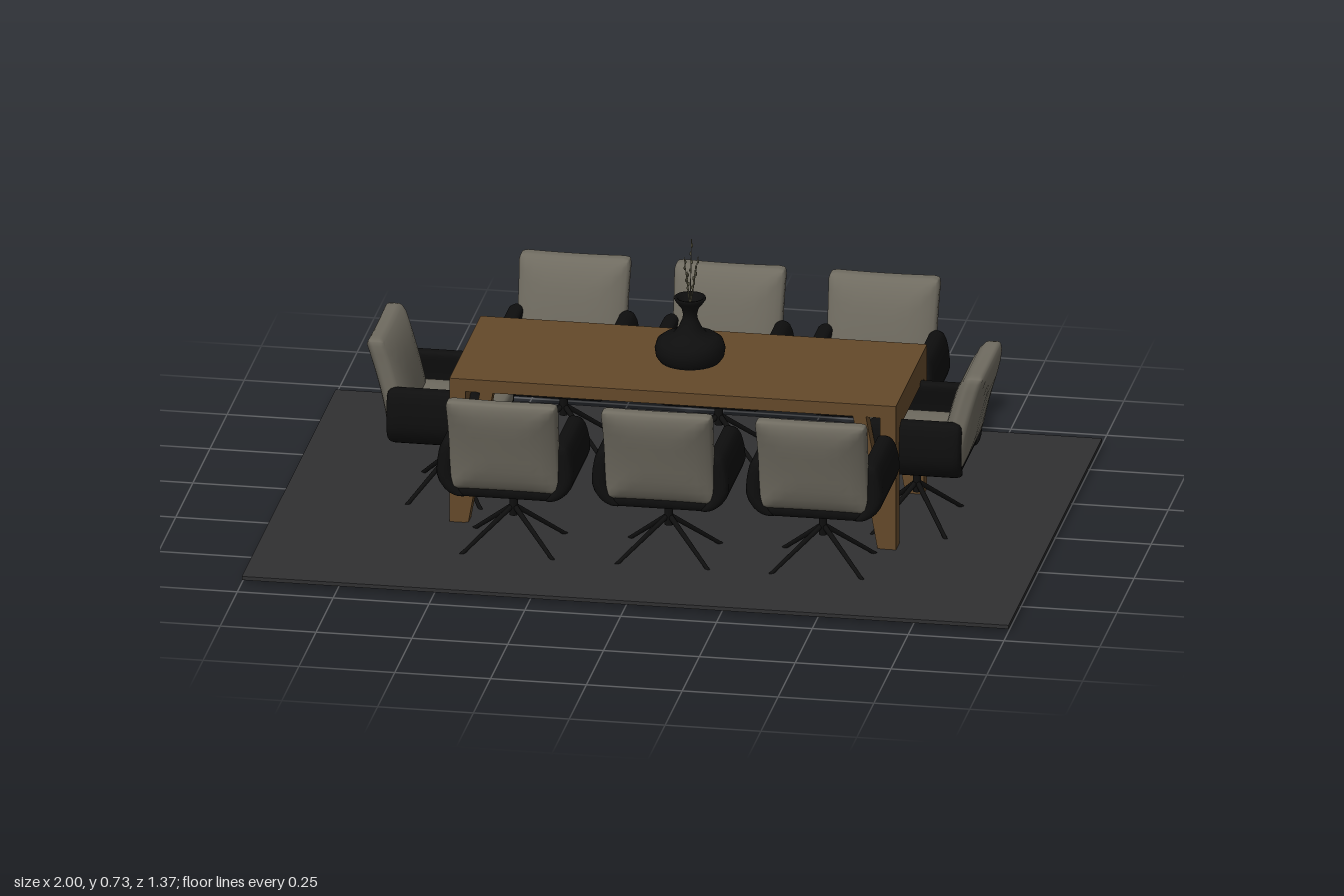
import * as THREE from 'three';
import { mergeVertices } from 'three/addons/utils/BufferGeometryUtils.js';

const mat = (name, color, side = THREE.FrontSide) => {
  const m = new THREE.MeshStandardMaterial({ color, side });
  m.name = name;
  return m;
};

function mesh(parent, name, geometry, material, x = 0, y = 0, z = 0) {
  const m = new THREE.Mesh(geometry, material);
  m.name = name;
  m.position.set(x, y, z);
  parent.add(m);
  return m;
}

// Smooth rounded box; rule(v) may bend its vertices afterwards
function softBox(w, h, d, r, rule, n = 12) {
  let g = new THREE.BoxGeometry(2, 2, 2, n, n, n);
  g.deleteAttribute('normal');
  g.deleteAttribute('uv');
  g = mergeVertices(g, 1e-4);
  const p = g.attributes.position;
  const v = new THREE.Vector3(), inner = new THREE.Vector3();
  const lim = new THREE.Vector3(w / 2 - r, h / 2 - r, d / 2 - r);
  const ease = (t) => Math.sin(t * Math.PI / 2);
  for (let i = 0; i < p.count; i++) {
    v.fromBufferAttribute(p, i);
    v.set(ease(v.x) * w / 2, ease(v.y) * h / 2, ease(v.z) * d / 2);
    inner.copy(v).clamp(lim.clone().negate(), lim);
    v.sub(inner).setLength(r).add(inner);
    if (rule) rule(v);
    p.setXYZ(i, v.x, v.y, v.z);
  }
  g.computeVertexNormals();
  return g;
}

// Tapered round bar between two points
function bar(parent, name, a, b, r0, r1, material, sides = 10) {
  const d = b.clone().sub(a);
  const m = mesh(parent, name, new THREE.CylinderGeometry(r1, r0, d.length(), sides), material);
  m.position.copy(a).addScaledVector(d, 0.5);
  m.quaternion.setFromUnitVectors(new THREE.Vector3(0, 1, 0), d.normalize());
  return m;
}

// Swivel chair facing +z, centred on its pedestal
function makeChair(black, fabric) {
  const chair = new THREE.Group();
  chair.name = 'chair';

  mesh(chair, 'seatShell', softBox(0.27, 0.04, 0.27, 0.019), black, 0, 0.205, 0);
  for (const s of [-1, 1]) {
    // Armrest bulges at the middle and tucks in under the seat
    const arm = softBox(0.044, 0.16, 0.278, 0.021, (v) => {
      const k = v.y + 0.015;
      v.x -= s * (k < 0 ? 0.045 * (k / 0.065) ** 2 : 0.016 * (k / 0.095) ** 2);
      if (v.z > 0 && k > 0) v.z -= 0.035 * (k / 0.095) ** 2 * (v.z / 0.139);
    });
    mesh(chair, s > 0 ? 'leftArm' : 'rightArm', arm, black, s * 0.157, 0.266, -0.004);
  }

  // Plump seat and leaning back cushions, thinner towards their edges
  const seat = softBox(0.272, 0.075, 0.275, 0.018, (v) => {
    const e = Math.max(Math.abs(v.x) / 0.136, Math.abs(v.z) / 0.1375);
    v.y *= 1 - 0.4 * e ** 4;
  });
  mesh(chair, 'seatCushion', seat, fabric, 0, 0.245, 0.002);
  const back = softBox(0.292, 0.268, 0.084, 0.018, (v) => {
    const a = Math.abs(v.x) / 0.146, b = Math.abs(v.y) / 0.134;
    v.z *= 1 - 0.55 * Math.max(a, b) ** 4;
    v.x *= 1 - 0.025 * (1 - b * b);
    v.y *= 1 - 0.02 * (1 - a * a);
    v.z -= 0.065 * Math.max(0, (v.y + 0.134) / 0.268) ** 1.4;
  });
  mesh(chair, 'backCushion', back, fabric, 0, 0.339, -0.112);

  // Pedestal with four spread legs
  mesh(chair, 'pedestal', new THREE.CylinderGeometry(0.011, 0.011, 0.095, 16), black, 0, 0.145, 0);
  for (const sx of [-1, 1]) for (const sz of [-1, 1]) {
    bar(chair, 'chairLeg', new THREE.Vector3(0, 0.125, 0),
      new THREE.Vector3(sx * 0.13, 0.006, sz * 0.105), 0.007, 0.005, black);
  }
  return chair;
}

function makeTable(wood) {
  const table = new THREE.Group();
  table.name = 'table';
  const box = (name, x0, x1, y0, y1, z0, z1) => mesh(table, name,
    new THREE.BoxGeometry(x1 - x0, y1 - y0, z1 - z0), wood, (x0 + x1) / 2, (y0 + y1) / 2, (z0 + z1) / 2);

  // Top: main panel, back rail and end rail
  box('tableTop', -0.545, 0.585, 0.378, 0.412, -0.21, 0.2);
  box('topBackRail', -0.545, 0.585, 0.378, 0.412, -0.255, -0.21);
  box('topEndRail', 0.585, 0.62, 0.378, 0.412, -0.255, 0.2);

  for (const s of [-1, 1]) {
    const outer = s < 0 ? -0.545 : 0.62;
    const w = 0.042;
    const a = Math.min(outer, outer - s * w), b = Math.max(outer, outer - s * w);
    box('endBeam', a, b, 0.335, 0.378, -0.206, 0.152);
    for (const [z0, z1] of [[-0.255, -0.206], [0.152, 0.2]]) {
      box('tableLeg', a, b, 0.001, 0.378, z0, z1);
      // Slanted brace rising inward from the foot
      const shape = new THREE.Shape([
        [outer - s * 0.012, 0.001], [outer - s * 0.046, 0.001],
        [outer - s * 0.113, 0.378], [outer - s * 0.079, 0.378],
      ].map(([x, y]) => new THREE.Vector2(x, y)));
      const depth = z1 - z0 - 0.006;
      mesh(table, 'legBrace', new THREE.ExtrudeGeometry(shape, { depth, bevelEnabled: false }),
        wood, 0, 0, z0 + 0.003);
    }
  }
  return table;
}

function makeVase(black, straw) {
  const vase = new THREE.Group();
  vase.name = 'vase';
  const pts = [[0, 0], [0.078, 0], [0.088, 0.014], [0.091, 0.034], [0.085, 0.054], [0.07, 0.065],
    [0.044, 0.072], [0.03, 0.09], [0.02, 0.112], [0.018, 0.125], [0.022, 0.142], [0.036, 0.16],
    [0.041, 0.168], [0.04, 0.173], [0.034, 0.172], [0.016, 0.145], [0, 0.135]];
  mesh(vase, 'vaseBody', new THREE.LatheGeometry(pts.map(([x, y]) => new THREE.Vector2(x, y)), 40), black);

  // Dry stems with small seed heads
  for (const [x, y, z] of [[0, 0.323, -0.022], [-0.018, 0.275, -0.014], [0.019, 0.28, -0.012],
    [-0.009, 0.24, -0.004], [0.012, 0.245, -0.006]]) {
    const a = new THREE.Vector3(0, 0.14, 0), b = new THREE.Vector3(x, y, z);
    bar(vase, 'stem', a, b, 0.0014, 0.001, straw, 5);
    for (let i = 0; i < 4; i++) {
      const p = a.clone().lerp(b, 0.55 + i * 0.12);
      const seed = mesh(vase, 'seedHead', new THREE.SphereGeometry(0.0026, 6, 5), straw,
        p.x + (i % 2 ? 0.002 : -0.002), p.y, p.z);
      seed.scale.y = 2.2;
    }
  }
  vase.position.set(0.04, 0.412, -0.04);
  return vase;
}

export function createModel() {
  const model = new THREE.Group();
  model.name = 'diningSet';
  const wood = mat('wood', 0x64492a);
  const black = mat('black', 0x0e0e0e);
  const fabric = mat('greyFabric', 0x6f6b60);
  const rug = mat('rugGrey', 0x303031);
  const straw = mat('straw', 0x6a6650);

  mesh(model, 'rug', new THREE.BoxGeometry(2, 0.01, 1.365), rug, 0, 0.013, 0);
  model.add(makeTable(wood), makeVase(black, straw));

  // Three chairs along each side, one at each end
  const places = [[-0.578, -0.023, Math.PI / 2], [0.635, -0.023, -Math.PI / 2]];
  for (const x of [-0.355, 0.05, 0.452]) places.push([x, -0.405, 0], [x, 0.325, Math.PI]);
  for (const [x, z, turn] of places) {
    const chair = makeChair(black, fabric);
    chair.position.set(x, 0, z);
    chair.rotation.y = turn;
    model.add(chair);
  }
  return model;
}
